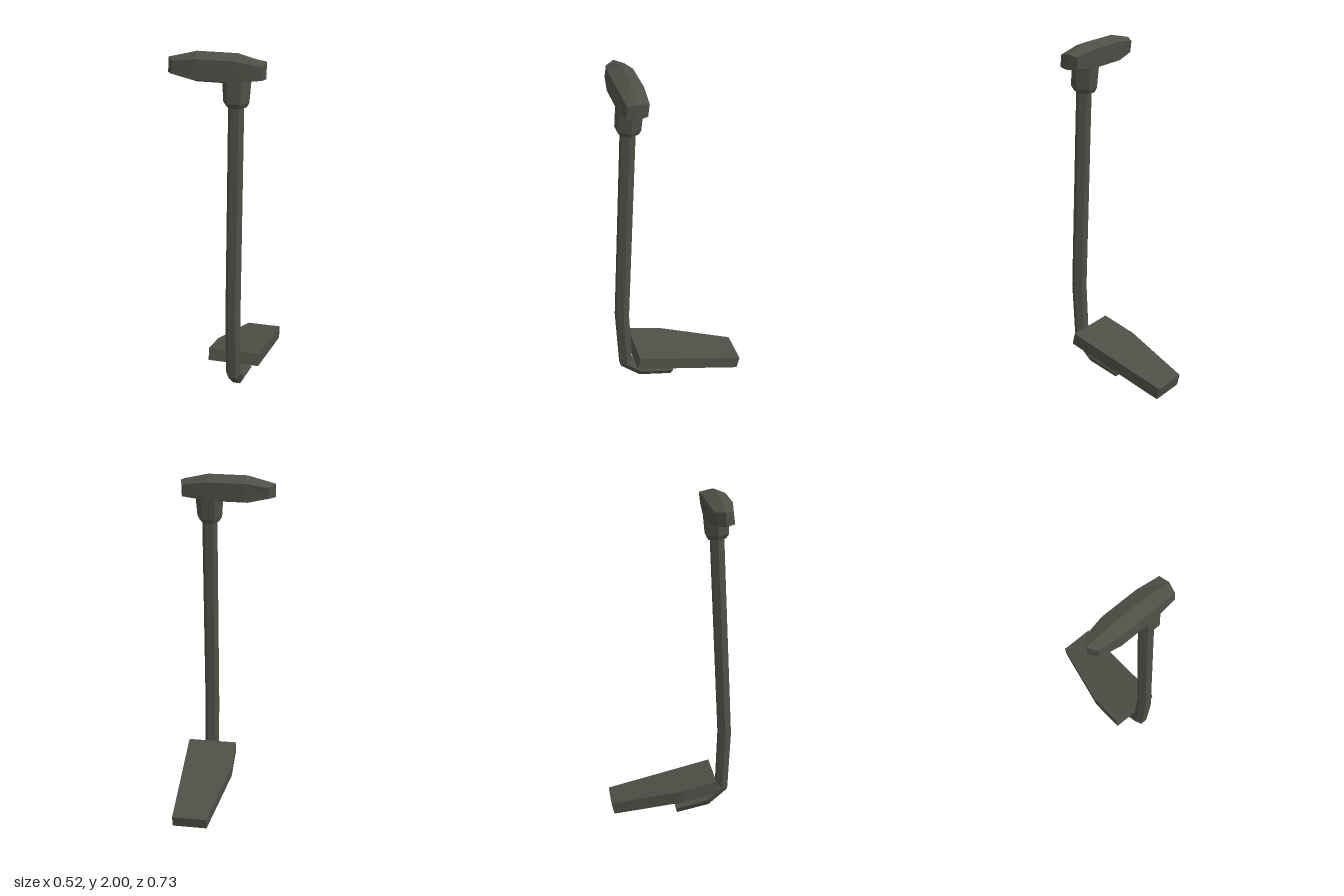
import * as THREE from 'three';

const V = (x, y, z) => [x, y, z];

// Closed flat-faced solid lofted through rings of equal point count
function loft(rings) {
  const n = rings[0].length, tris = [];
  for (let i = 0; i < rings.length - 1; i++) {
    for (let j = 0; j < n; j++) {
      const k = (j + 1) % n, a = rings[i], b = rings[i + 1];
      tris.push([a[j], a[k], b[k]], [a[j], b[k], b[j]]);
    }
  }
  const first = rings[0], last = rings[rings.length - 1];
  for (let j = 1; j < n - 1; j++) {
    tris.push([first[0], first[j + 1], first[j]], [last[0], last[j], last[j + 1]]);
  }
  // Turn the solid outward if its signed volume is negative
  let volume = 0;
  for (const [a, b, c] of tris) {
    volume += new THREE.Vector3(...a).dot(new THREE.Vector3(...b).cross(new THREE.Vector3(...c)));
  }
  if (volume < 0) tris.forEach((t) => t.reverse());
  const geometry = new THREE.BufferGeometry();
  geometry.setAttribute('position', new THREE.Float32BufferAttribute(tris.flat(2), 3));
  geometry.computeVertexNormals();
  return geometry;
}

// Hexagonal section from its front and back edge points [z, y] and half-width
function hexRing([fz, fy], [bz, by], w, cx = 0.107) {
  const mz = (fz + bz) / 2, my = (fy + by) / 2, h = w / 2;
  return [
    V(cx - h, fy, fz), V(cx + h, fy, fz), V(cx + w, my, mz),
    V(cx + h, by, bz), V(cx - h, by, bz), V(cx - w, my, mz),
  ];
}

export function createModel() {
  const group = new THREE.Group();
  group.name = 'pedalLever';
  const metal = new THREE.MeshStandardMaterial({ color: 0x4f4f47, flatShading: true });
  metal.name = 'darkOliveMetal';
  const add = (name, rings) => {
    const mesh = new THREE.Mesh(loft(rings), metal);
    mesh.name = name;
    group.add(mesh);
  };

  // Bent rod: mitred sections from the collar down to the hooked foot
  add('rod', [
    [[0.301, 1.76], [0.226, 1.756]],
    [[0.366, 0.52], [0.291, 0.52]],
    [[0.35, 0.145], [0.281, 0.18]],
    [[0.235, 0.045], [0.218, 0.12]],
    [[0.04, 0.004], [0.024, 0.077]],
  ].map(([f, b]) => hexRing(f, b, 0.043)));

  // Collar where the rod meets the handle
  add('collar', [
    hexRing([0.315, 1.9], [0.185, 1.895], 0.08),
    hexRing([0.327, 1.75], [0.201, 1.745], 0.07),
    hexRing([0.311, 1.724], [0.212, 1.719], 0.055),
  ]);

  // Handle sections: ridge x, side x, ridge top/bottom, side top/bottom, half depth
  add('handle', [
    [-0.262, -0.227, 1.96, 1.88, 1.95, 1.885, 0.05],
    [-0.107, -0.107, 2.0, 1.84, 1.972, 1.865, 0.068],
    [0.11, 0.11, 2.0, 1.84, 1.972, 1.865, 0.068],
    [0.262, 0.25, 1.96, 1.875, 1.95, 1.88, 0.057],
  ].map(([rx, sx, rt, rb, st, sb, d]) => [
    V(rx, rt, 0.241), V(sx, st, 0.241 + d), V(sx, sb, 0.25 + d),
    V(rx, rb, 0.25), V(sx, sb, 0.25 - d), V(sx, st, 0.241 - d),
  ]));

  // Sloping pedal plate with one tapered side
  const top = [[-0.05, 0.258], [0.242, 0.258], [0.242, -0.363], [0.042, -0.363], [-0.05, 0.05]]
    .map(([x, z]) => V(x, 0.27 + (z - 0.258) * 0.242, z));
  add('pedal', [top, top.map(([x, y, z]) => V(x, y - 0.071, z + 0.017))]);

  return group;
}
